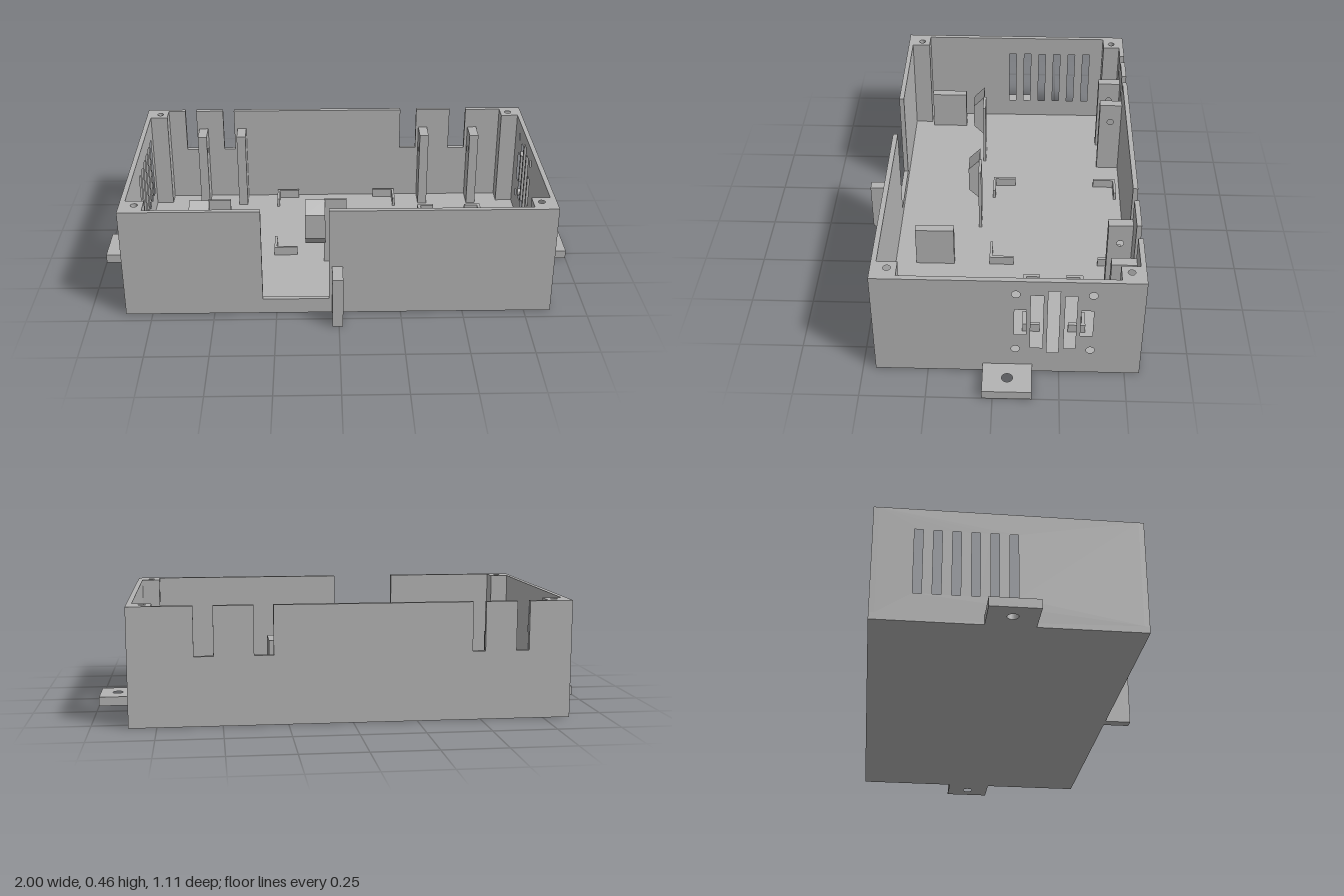
import * as THREE from 'three';

export function createModel() {
  const group = new THREE.Group();
  const grey = new THREE.MeshStandardMaterial({ color: 0xb3b3b3 });
  grey.name = 'grey plastic';

  // Overall dimensions
  const X = 0.857, ZB = -0.557, ZF = 0.451, H = 0.463, T = 0.02, FLOOR = 0.027;

  const add = (name, geo) => {
    const mesh = new THREE.Mesh(geo, grey);
    mesh.name = name;
    group.add(mesh);
    return mesh;
  };
  const box = (name, x0, x1, y0, y1, z0, z1) =>
    add(name, new THREE.BoxGeometry(x1 - x0, y1 - y0, z1 - z0)
      .translate((x0 + x1) / 2, (y0 + y1) / 2, (z0 + z1) / 2));

  // Outlines and holes in the plane of a plate
  const rect = (a0, a1, b0, b1) => [[a0, b0], [a1, b0], [a1, b1], [a0, b1]];
  const circle = (a, b, r) => Array.from({ length: 24 }, (_, i) => {
    const t = (i / 24) * Math.PI * 2;
    return [a + r * Math.cos(t), b + r * Math.sin(t)];
  });
  const vec = (pts, s = 1) => pts.map(([a, b]) => new THREE.Vector2(a * s, b));
  const extrude = (outline, holes, depth) => {
    const shape = new THREE.Shape(outline);
    for (const h of holes) shape.holes.push(new THREE.Path(h));
    return new THREE.ExtrudeGeometry(shape, { depth, bevelEnabled: false });
  };
  // Points are (x, y), thickness runs along z
  const facingZ = (name, pts, holes, z0, z1) =>
    add(name, extrude(vec(pts), holes.map((h) => vec(h)), z1 - z0).translate(0, 0, z0));
  // Points are (z, y), thickness runs along x
  const facingX = (name, pts, holes, x0, x1) =>
    add(name, extrude(vec(pts, -1), holes.map((h) => vec(h, -1)), x1 - x0)
      .rotateY(Math.PI / 2).translate(x0, 0, 0));
  // Points are (x, z), thickness runs along y
  const facingY = (name, pts, holes, y0, y1) => {
    const flip = (p) => p.map(([a, b]) => new THREE.Vector2(a, -b));
    return add(name, extrude(flip(pts), holes.map(flip), y1 - y0)
      .rotateX(-Math.PI / 2).translate(0, y0, 0));
  };
  // Wall outline with notches cut down from the top edge
  const notched = (notches) => {
    const pts = [[X, FLOOR], [X, H]];
    for (const [hi, lo, y] of notches) pts.push([hi, H], [hi, y], [lo, y], [lo, H]);
    return [...pts, [-X, H], [-X, FLOOR]];
  };

  // Shell: floor, front and back walls
  box('floor', -X, X, 0, FLOOR, ZB, ZF);
  facingZ('frontWall', notched([[-0.038, -0.304, 0.065]]), [], ZF - T, ZF);
  facingZ('backWall', notched([
    [0.607, 0.533, 0.27], [0.379, 0.305, 0.27], [-0.465, -0.515, 0.27], [-0.638, -0.688, 0.27],
  ]), [], ZB, ZB + T);

  // Left wall: fan grille with four screw holes
  const side = rect(ZB + T, ZF - T, FLOOR, H);
  const fan = [
    rect(-0.122, -0.078, 0.195, 0.323), rect(-0.185, -0.138, 0.127, 0.395),
    rect(-0.245, -0.201, 0.103, 0.418), rect(-0.308, -0.264, 0.127, 0.395),
    rect(-0.37, -0.324, 0.195, 0.323),
  ];
  for (const z of [-0.083, -0.365]) for (const y of [0.12, 0.4]) fan.push(circle(z, y, 0.016));
  facingX('fanWall', side, fan, X - T, X);

  // Right wall: six equal vent slots
  const vents = [];
  for (let i = 0; i < 6; i++) {
    const z = -0.405 + i * 0.07;
    vents.push(rect(z, z + 0.032, 0.112, 0.377));
  }
  facingX('ventWall', side, vents, -X, -X + T);

  for (const s of [-1, 1]) {
    // Corner screw posts
    for (const [z0, z1, hz] of [[ZB + T, -0.465, -0.502], [0.353, ZF - T, 0.389]]) {
      facingY('cornerPost', rect(s * 0.763, s * (X - T), z0, z1),
        [circle(s * 0.797, hz, 0.014)], FLOOR, H);
    }
    // Mounting flanges
    facingY('mountingFlange', rect(s * X, s * 1, -0.147, 0.04),
      [circle(s * 0.929, -0.054, 0.021)], 0, 0.037);
  }

  // Front tab with a small slot
  facingX('frontTab', rect(ZF, 0.557, 0, 0.215), [rect(0.476, 0.514, 0.127, 0.15)], -0.026, 0.016);

  // Cable posts on the back wall
  for (const x of [-0.627, -0.45, 0.391, 0.62]) {
    facingX('cablePost', rect(ZB + T, -0.44, FLOOR, 0.375), [circle(-0.49, 0.285, 0.014)], x, x + 0.04);
  }

  // Snap clips: an upright plate beside a wedge-shaped hook
  for (const x of [-0.62, -0.135]) {
    box('clipPlate', x + 0.08, x + 0.175, FLOOR, 0.325, 0.078, 0.09);
    facingX('clipHook', [[0.088, 0.115], [0.136, 0.165], [0.136, 0.275], [0.088, 0.325]], [], x, x + 0.085);
  }

  // Upright support ribs
  for (const x of [-0.77, 0.245]) box('supportRib', x, x + 0.037, FLOOR, 0.205, 0.183, 0.343);

  // Corner brackets that locate the circuit boards
  const brackets = (x0, x1, z0, z1, ax, az, t) => {
    for (const [x, sx] of [[x0, 1], [x1, -1]]) {
      for (const [z, sz] of [[z0, 1], [z1, -1]]) {
        facingY('boardBracket', [
          [x, z], [x + sx * ax, z], [x + sx * ax, z + sz * t],
          [x + sx * t, z + sz * t], [x + sx * t, z + sz * az], [x, z + sz * az],
        ], [], FLOOR, 0.065);
      }
    }
  };
  brackets(-0.27, 0.281, -0.518, 0.035, 0.1, 0.1, 0.011);
  brackets(0.382, 0.672, -0.355, -0.108, 0.073, 0.068, 0.014);

  return group;
}
